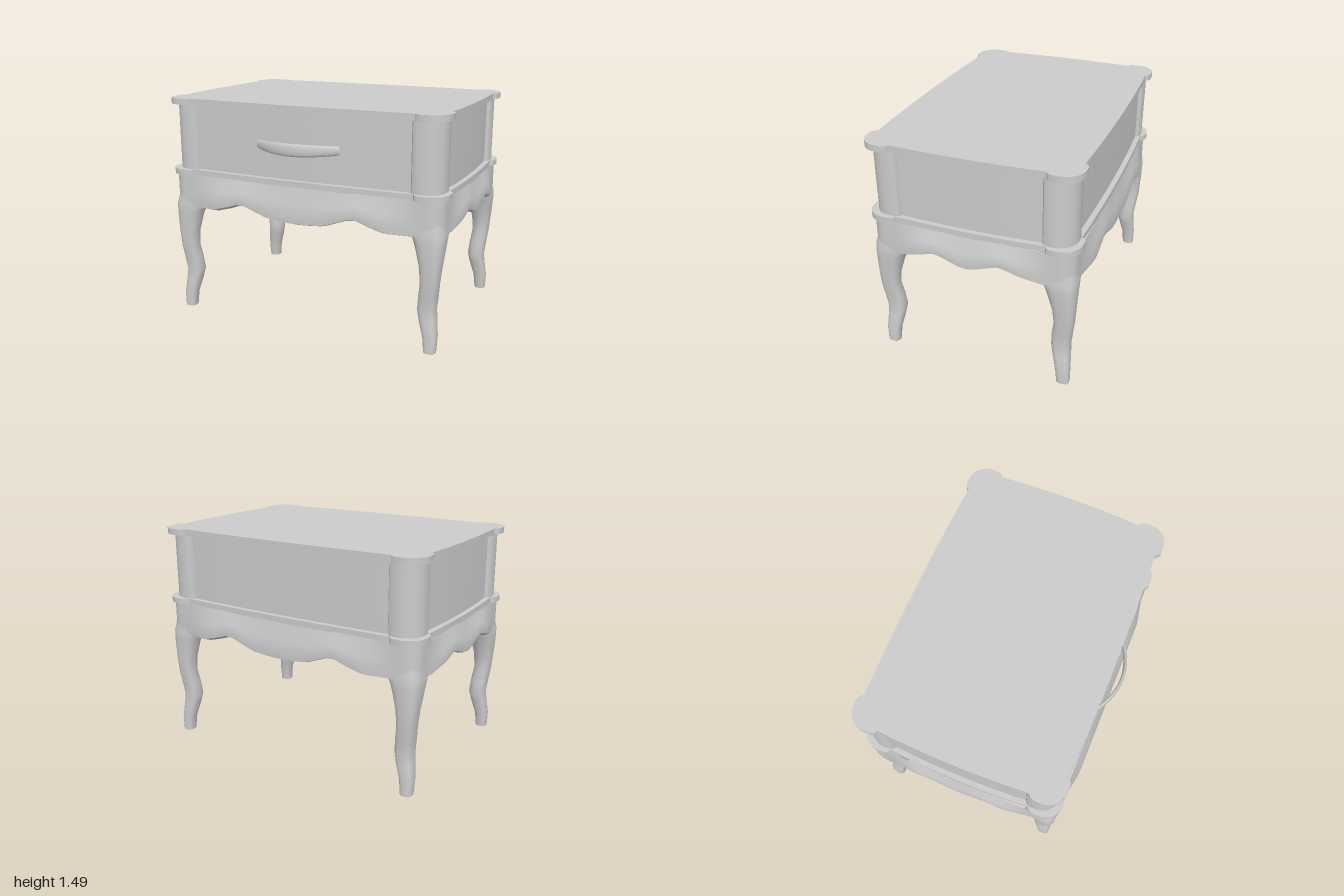
import * as THREE from 'three';
import { toCreasedNormals } from 'three/addons/utils/BufferGeometryUtils.js';

const Z0 = -0.024; // depth centre of the cabinet (the handle sticks out in front)
const { smoothstep } = THREE.MathUtils;

// Piecewise linear lookup in [[x, y], ...]
function lookup(table, x) {
  for (let i = 1; i < table.length; i++) {
    const [x0, y0] = table[i - 1], [x1, y1] = table[i];
    if (x <= x1) return y0 + (y1 - y0) * (x - x0) / (x1 - x0);
  }
  return table[table.length - 1][1];
}

// Skin over closed rings of [x, y, z] points
function loft(rings, crease = 0.7) {
  const n = rings[0].length, index = [];
  for (let i = 0; i < rings.length - 1; i++) {
    for (let j = 0; j < n; j++) {
      const a = i * n + j, b = i * n + (j + 1) % n;
      index.push(a, a + n, b, b, a + n, b + n);
    }
  }
  const g = new THREE.BufferGeometry();
  g.setAttribute('position', new THREE.Float32BufferAttribute(rings.flat(2), 3));
  g.setIndex(index);
  return toCreasedNormals(g, crease);
}

// Ring collapsed to its middle, used as an end cap
function cap(ring) {
  const c = [0, 1, 2].map(k => ring.reduce((s, p) => s + p[k], 0) / ring.length);
  return ring.map(() => c);
}

// Mirror a quarter outline (from the +x axis to the +z axis) into a full loop
function mirror4(q) {
  const r = [...q].reverse();
  return [
    ...q,
    ...r.slice(1).map(([x, z]) => [-x, z]),
    ...q.slice(1).map(([x, z]) => [-x, -z]),
    ...r.slice(1, -1).map(([x, z]) => [x, -z]),
  ];
}

function cornerArc(W, D, r, steps = 10) {
  return Array.from({ length: steps + 1 }, (_, i) => {
    const a = i / steps * Math.PI / 2;
    return [W - r + r * Math.cos(a), D - r + r * Math.sin(a)];
  });
}

// Slab with rounded corner lobes and gently bowed edges between them
function lobedSlab(W, D, r, lobe, step, y0, y1) {
  const bow = t => step * (0.4 + 0.6 * t * t);
  const ts = [0, 0.2, 0.4, 0.6, 0.8, 1];
  const quarter = [
    ...ts.map(t => [W - bow(t), t * (D - lobe)]),
    [W - step * 0.35, D - lobe + 0.012], [W, D - lobe + 0.035],
    ...cornerArc(W, D, r),
    [W - lobe + 0.035, D], [W - lobe + 0.012, D - step * 0.35],
    ...ts.map(t => [t * (W - lobe), D - bow(t)]).reverse(),
  ];
  const shape = new THREE.Shape(mirror4(quarter).map(([x, z]) => new THREE.Vector2(x, -z)));
  const g = new THREE.ExtrudeGeometry(shape, { depth: y1 - y0, bevelEnabled: false });
  g.rotateX(-Math.PI / 2).translate(0, y0, Z0);
  return toCreasedNormals(g, 0.5);
}

// Scalloped skirt that swells outward below the case
function apronGeometry() {
  const W = 0.957, D = 0.66, r = 0.1, N = 24;
  const frontEdge = [[0, 0.738], [0.1, 0.742], [0.2, 0.752], [0.3, 0.787], [0.37, 0.812],
    [0.43, 0.814], [0.5, 0.79], [0.62, 0.757], [0.75, 0.755]];
  const sideEdge = [[0, 0.77], [0.05, 0.777], [0.2, 0.83], [0.24, 0.825], [0.36, 0.787], [0.47, 0.755]];
  const side = [], front = [];
  for (let i = 0; i < N; i++) {
    side.push([W, i / N * (D - r)]);
    front.unshift([i / N * (W - r), D]);
  }
  const loop = mirror4([...side, ...cornerArc(W, D, r), ...front]);
  // [height fraction from the top, swell, inset, drop], inner face first
  const profile = [[0, 0, 0.085, 0], [0.5, 0.35, 0.06, 0], [1, 0.85, 0.03, 0.012],
    [1, 0.9, 0, 0], [0.75, 1, 0, 0], [0.5, 0.72, 0, 0], [0.25, 0.38, 0, 0], [0, 0.1, 0, 0]];
  return loft(profile.map(([v, swell, inset, drop]) => loop.map(([x, z]) => {
    const ax = Math.abs(x), az = Math.abs(z);
    const low = ax <= W - r ? lookup(frontEdge, ax) : lookup(sideEdge, az);
    const px = ax * (W - inset) / W + 0.043 * swell * (1 - smoothstep(az, 0.28, 0.56));
    const pz = az * (D - inset) / D + 0.042 * swell * (1 - smoothstep(ax, 0.55, 0.85));
    return [Math.sign(x) * px, 0.975 + (low - 0.975) * v - drop, Math.sign(z) * pz + Z0];
  })));
}

// Cabriole leg: [y, outer x, inner x, outer z, inner z, inner corner power]
const LEG = [
  [0, 0.93, 0.855, 0.642, 0.56, 2.2], [0.1, 0.935, 0.845, 0.642, 0.55, 2.2],
  [0.2, 0.922, 0.815, 0.636, 0.525, 2], [0.27, 0.915, 0.8, 0.632, 0.511, 2],
  [0.36, 0.925, 0.807, 0.642, 0.516, 1.8], [0.45, 0.935, 0.819, 0.655, 0.53, 1.7],
  [0.55, 0.945, 0.812, 0.66, 0.52, 1.5], [0.65, 0.955, 0.787, 0.664, 0.49, 1.3],
  [0.71, 0.96, 0.768, 0.666, 0.468, 1.1], [0.76, 0.962, 0.745, 0.667, 0.44, 1],
  [0.82, 0.95, 0.735, 0.655, 0.435, 1], [0.975, 0.94, 0.73, 0.645, 0.43, 1],
];

function legGeometry(sx, sz) {
  const rings = LEG.map(([y, xo, xi, zo, zi, power]) => {
    const ring = [];
    for (let j = 0; j < 32; j++) {
      const a = j / 32 * Math.PI * 2, c = Math.cos(a), s = Math.sin(a);
      const n = c < -1e-6 && s < -1e-6 ? power : 3;
      const k = Math.pow(Math.abs(c) ** n + Math.abs(s) ** n, -1 / n);
      ring.push([sx * ((xo + xi) / 2 + c * k * (xo - xi) / 2), y,
        sz * ((zo + zi) / 2 + s * k * (zo - zi) / 2) + Z0]);
    }
    return sx * sz < 0 ? ring.reverse() : ring;
  });
  return loft([cap(rings[0]), ...rings, cap(rings[rings.length - 1])], 0.9);
}

// Bowed pull handle, taller in the middle than at its ends
function handleGeometry() {
  const rings = [];
  for (let i = 0; i <= 24; i++) {
    const t = i / 12 - 1, ring = [];
    const h = 0.027 + 0.013 * (1 - t * t), d = 0.011;
    for (let j = 0; j < 16; j++) {
      const a = j / 16 * Math.PI * 2;
      ring.push([0.285 * t - t * d * Math.sin(a) * 0.6, 1.222 + h * Math.cos(a),
        0.715 - 0.108 * t * t - d * Math.sin(a)]);
    }
    rings.push(ring);
  }
  return loft([cap(rings[0]), ...rings, cap(rings[24])]);
}

export function createModel() {
  const model = new THREE.Group();
  model.name = 'nightstand';
  const material = new THREE.MeshStandardMaterial({ color: 0xcccccc });
  const add = (name, geometry) => {
    const mesh = new THREE.Mesh(geometry, material);
    mesh.name = name;
    model.add(mesh);
  };

  // Case with its top and base plates
  add('topPlate', lobedSlab(0.975, 0.682, 0.12, 0.2, 0.03, 1.445, 1.485));
  add('drawerCase', lobedSlab(0.942, 0.648, 0.12, 0.195, 0.03, 1.0, 1.45));
  add('basePlate', lobedSlab(0.975, 0.682, 0.12, 0.2, 0.03, 0.97, 1.008));
  add('drawerHandle', handleGeometry());

  // Skirt and four legs
  add('apron', apronGeometry());
  for (const [sz, end] of [[1, 'front'], [-1, 'back']]) {
    for (const [sx, hand] of [[1, 'Left'], [-1, 'Right']]) {
      add(end + hand + 'Leg', legGeometry(sx, sz));
    }
  }
  return model;
}
